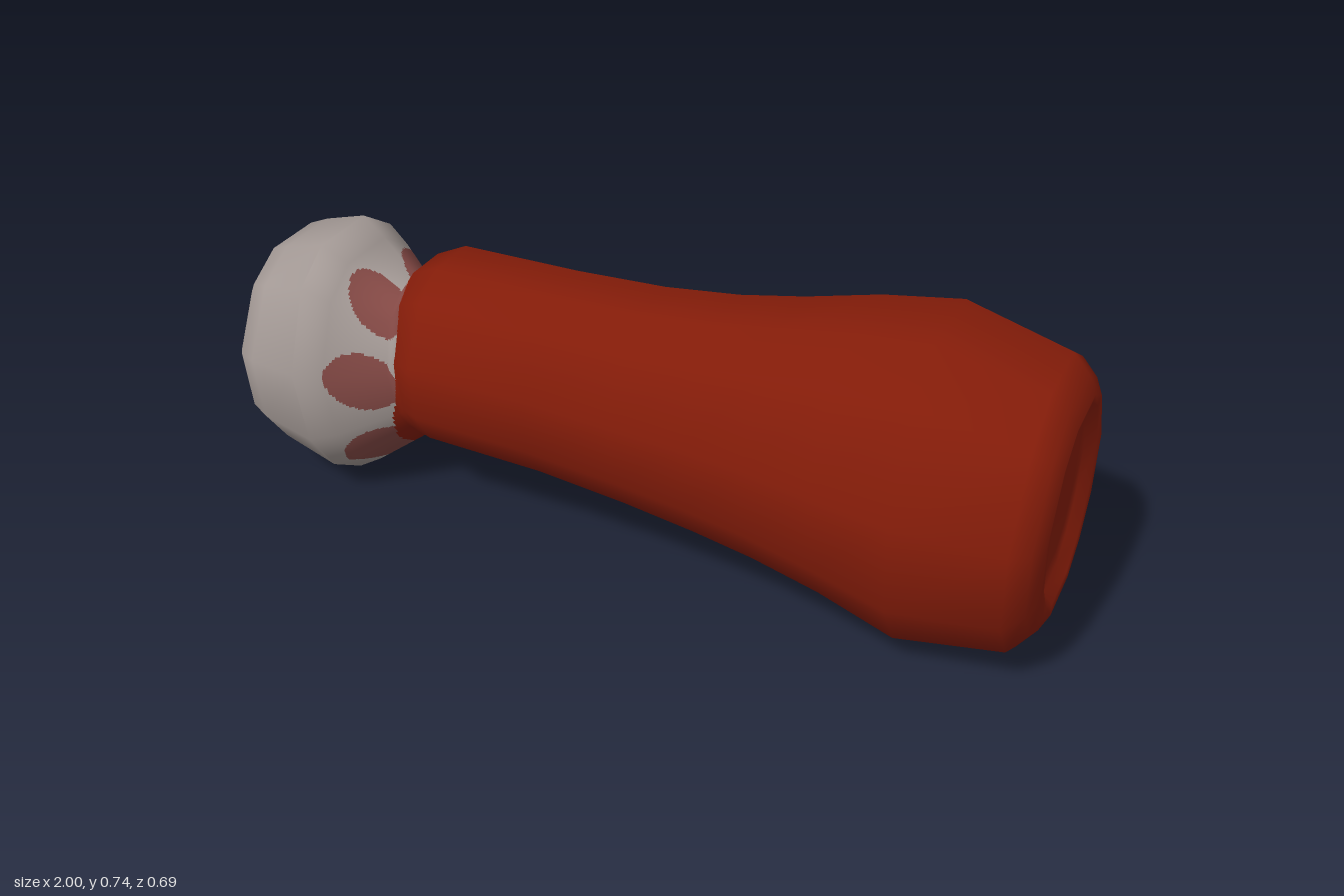
import * as THREE from 'three';

const materials = {
  red: new THREE.MeshStandardMaterial({ name: 'brickRed', color: 0x841c09 }),
  grey: new THREE.MeshStandardMaterial({ name: 'warmGrey', color: 0xa39995 }),
  rose: new THREE.MeshStandardMaterial({ name: 'dustyRose', color: 0x824844 }),
};

// Cross-sections from the small end to the large end:
// x, top, bottom, half width in z, slant of the ring in x per unit of y
const sections = [
  // dished small end
  [-0.965, 0.35, 0.35, 0, 0],
  [-0.97, 0.43, 0.25, 0.09, 0],
  [-0.985, 0.46, 0.22, 0.12, -0.05],
  [-0.991, 0.48, 0.2, 0.14, -0.06],
  [-0.982, 0.5, 0.17, 0.165, 0],
  [-0.988, 0.54, 0.125, 0.2, 0],
  // round knob
  [-0.945, 0.595, 0.1, 0.255, -0.02],
  [-0.9, 0.612, 0.08, 0.277, -0.02],
  [-0.775, 0.64, 0.03, 0.29, -0.08],
  [-0.715, 0.598, 0.062, 0.255, -0.08],
  // neck
  [-0.595, 0.52, 0.155, 0.16, -0.16],
  [-0.56, 0.6, 0.16, 0.18, -0.05],
  // flared handle
  [-0.5, 0.63, 0.165, 0.22, 0],
  [-0.2, 0.628, 0.155, 0.226, 0],
  [0.02, 0.634, 0.132, 0.236, 0],
  [0.2, 0.652, 0.108, 0.252, 0],
  [0.35, 0.678, 0.086, 0.275, 0],
  [0.52, 0.714, 0.062, 0.325, 0],
  [0.7, 0.74, 0, 0.35, 0],
  [0.94, 0.675, 0.04, 0.32, 0],
  [0.98, 0.635, 0.09, 0.285, 0],
  // dished large end
  [1.0, 0.6, 0.13, 0.245, 0],
  [0.998, 0.585, 0.15, 0.21, 0],
  [0.975, 0.56, 0.17, 0.19, 0],
  [0.97, 0.53, 0.21, 0.16, 0],
  [0.968, 0.375, 0.375, 0, 0],
];

// Twelve uneven corners, flat on top and underneath
const corners = [-24, 10, 48, 72, 108, 132, 170, 204, 229, 252, 288, 311].map(THREE.MathUtils.degToRad);
const N = corners.length;
const FLAT = Math.sin(THREE.MathUtils.degToRad(72));

function makeCage() {
  const pos = [], index = [];
  sections.forEach(([x, top, bottom, rz, slant], i) => {
    const cy = (top + bottom) / 2, ry = (top - bottom) / 2 / FLAT;
    corners.forEach((a, j) => {
      const dy = ry * Math.sin(a);
      pos.push(x + slant * dy, cy + dy, rz * Math.cos(a));
      if (i < sections.length - 1) {
        const k = (j + 1) % N, p = i * N, q = p + N;
        index.push(p + j, q + j, q + k, p + j, q + k, p + k);
      }
    });
  });
  const geo = new THREE.BufferGeometry();
  geo.setAttribute('position', new THREE.Float32BufferAttribute(pos, 3));
  geo.setIndex(index);
  geo.computeVertexNormals();
  return geo;
}

// Which part a point of the surface belongs to
function partAt(section, p) {
  const a = Math.atan2(p.y - 0.345, p.z);
  if (section < 1) return 'knobInset';
  // crescent around the upper and rear side of the inset
  if (section < 4) return a > -1.2 && a < 0.35 ? 'knobInset' : 'knobCrescent';
  if (section < 8) return 'knob';
  if (section > 10) return 'handle';
  if (p.x > -0.585 + 0.02 * Math.sin(2 * a + 0.6)) return 'handle';
  // six rounded petals reaching from the handle on to the knob
  const t = (p.x + 0.72) / 0.17;
  if (t < 0) return 'knob';
  const step = Math.PI / 3, b = a - 0.15 + 0.25 * t;
  const off = Math.abs(b - step * Math.round(b / step));
  return off < 0.37 * Math.sqrt(Math.sin(Math.PI * Math.min(t, 1))) ? 'neckPetals' : 'knob';
}

export function createModel() {
  const group = new THREE.Group();
  const cage = makeCage();
  const parts = {
    handle: { material: materials.red, pos: [], nor: [] },
    knob: { material: materials.grey, pos: [], nor: [] },
    neckPetals: { material: materials.rose, pos: [], nor: [] },
    knobCrescent: { material: materials.red, pos: [], nor: [] },
    knobInset: { material: materials.grey, pos: [], nor: [] },
  };
  const read = (name, i) => new THREE.Vector3().fromBufferAttribute(cage.attributes[name], i);
  const blend = (c, u, v) =>
    c[0].clone().lerp(c[1], u).lerp(c[3].clone().lerp(c[2], u), v);

  for (let i = 0; i < sections.length - 1; i++) {
    // finer where the colours meet in curves
    const steps = i >= 8 && i <= 10 ? 24 : i < 4 ? 6 : 1;
    for (let j = 0; j < N; j++) {
      const k = (j + 1) % N;
      const ids = [i * N + j, (i + 1) * N + j, (i + 1) * N + k, i * N + k];
      const P = ids.map((n) => read('position', n)), M = ids.map((n) => read('normal', n));
      for (let s = 0; s < steps; s++) {
        for (let t = 0; t < steps; t++) {
          const part = parts[partAt(i, blend(P, (s + 0.5) / steps, (t + 0.5) / steps))];
          for (const [du, dv] of [[0, 0], [1, 0], [1, 1], [0, 0], [1, 1], [0, 1]]) {
            const u = (s + du) / steps, v = (t + dv) / steps;
            part.pos.push(...blend(P, u, v).toArray());
            part.nor.push(...blend(M, u, v).normalize().toArray());
          }
        }
      }
    }
  }

  for (const [name, { material, pos, nor }] of Object.entries(parts)) {
    const geo = new THREE.BufferGeometry();
    geo.setAttribute('position', new THREE.Float32BufferAttribute(pos, 3));
    geo.setAttribute('normal', new THREE.Float32BufferAttribute(nor, 3));
    const mesh = new THREE.Mesh(geo, material);
    mesh.name = name;
    group.add(mesh);
  }
  group.name = 'knobbedHandle';
  return group;
}
